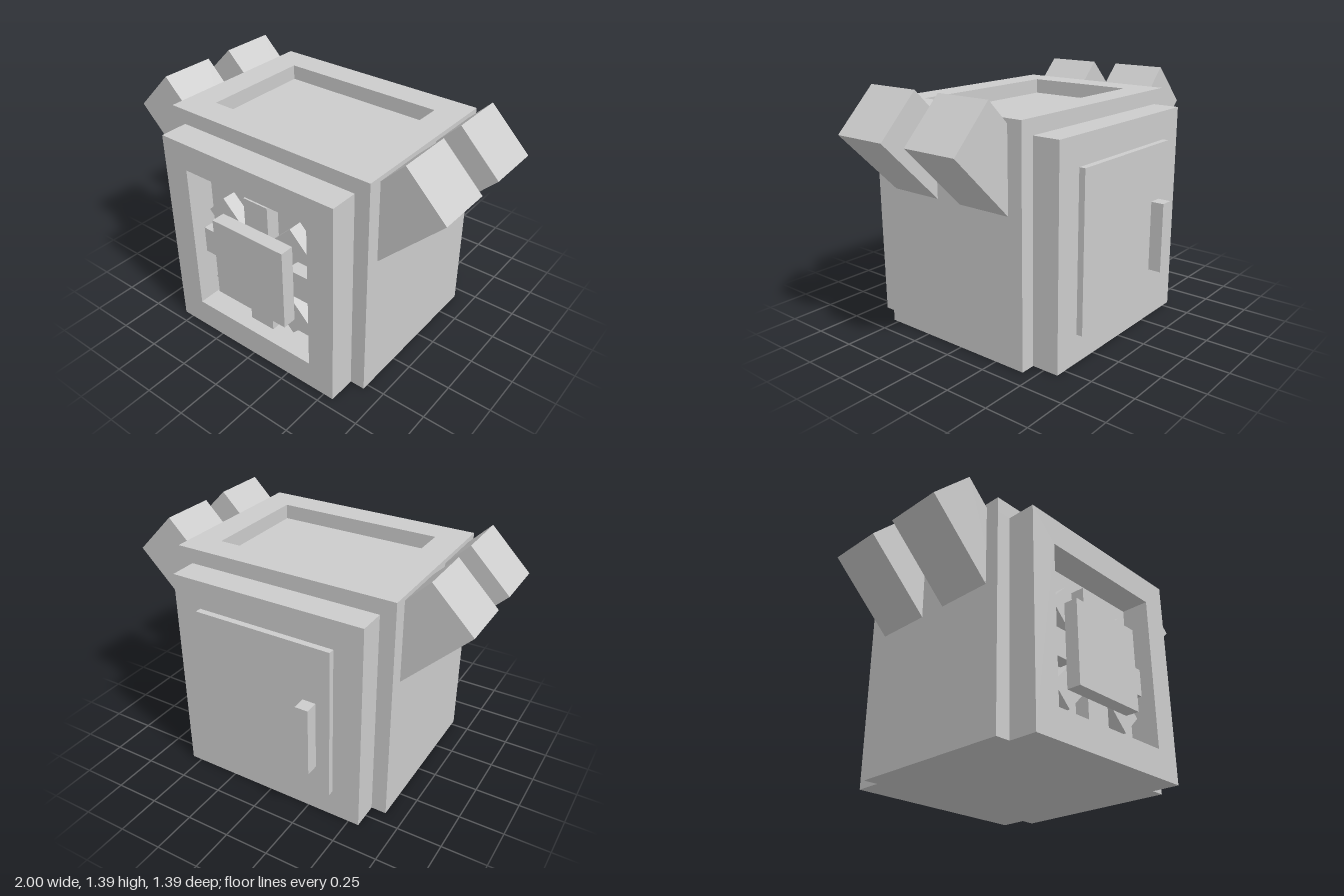
import * as THREE from 'three';

const material = new THREE.MeshStandardMaterial({ color: 0xcccccc, flatShading: true });

export function createModel() {
  const group = new THREE.Group();

  const add = (name, geometry) => {
    const mesh = new THREE.Mesh(geometry, material);
    mesh.name = name;
    group.add(mesh);
    return mesh;
  };

  // box given by its min/max extents
  const box = (name, x0, x1, y0, y1, z0, z1) => {
    const mesh = add(name, new THREE.BoxGeometry(x1 - x0, y1 - y0, z1 - z0));
    mesh.position.set((x0 + x1) / 2, (y0 + y1) / 2, (z0 + z1) / 2);
    return mesh;
  };

  // rectangular plate with a rectangular opening, extruded along +z
  const corners = (x, y0, y1) => [[-x, y0], [x, y0], [x, y1], [-x, y1]].map(p => new THREE.Vector2(...p));
  const frame = (name, outer, inner, depth) => {
    const shape = new THREE.Shape(corners(...outer));
    shape.holes.push(new THREE.Path(corners(...inner)));
    return add(name, new THREE.ExtrudeGeometry(shape, { depth, bevelEnabled: false }));
  };

  // main block with a raised rim around the sunken top
  box('body', -0.645, 0.645, 0, 1.205, -0.43, 0.535);
  const rim = frame('topRim', [0.645, -0.535, 0.43], [0.483, -0.373, 0.27], 0.085);
  rim.rotation.x = -Math.PI / 2;
  rim.position.y = 1.205;

  // front frame around the recessed emblem
  frame('frontFrame', [0.56, 0, 1.205], [0.402, 0.163, 1.05], 0.16).position.z = 0.535;

  // cog: four crossed bars make eight teeth, with a square hub on top
  for (let i = 0; i < 4; i++) {
    const bar = box('cogTeeth', -0.08, 0.08, 0.163, 0.967, 0.535, 0.615);
    bar.rotation.z = i * Math.PI / 4;
  }
  box('cogHub', -0.24, 0.24, 0.325, 0.805, 0.615, 0.695);

  // back panel, door and handle
  box('backPanel', -0.56, 0.56, 0, 1.205, -0.585, -0.43);
  box('door', -0.4, 0.4, 0.163, 1.045, -0.62, -0.585);
  box('doorHandle', -0.32, -0.245, 0.325, 0.725, -0.695, -0.62);

  // two slanted square stacks on each side
  for (const side of [-1, 1]) {
    for (const z of [0.295, -0.185]) {
      const stack = add('sideStack', new THREE.BoxGeometry(0.322, 0.64, 0.32));
      stack.position.set(side * 0.659, 1.051, z);
      stack.rotation.z = -side * Math.PI / 4;
    }
  }

  return group;
}
